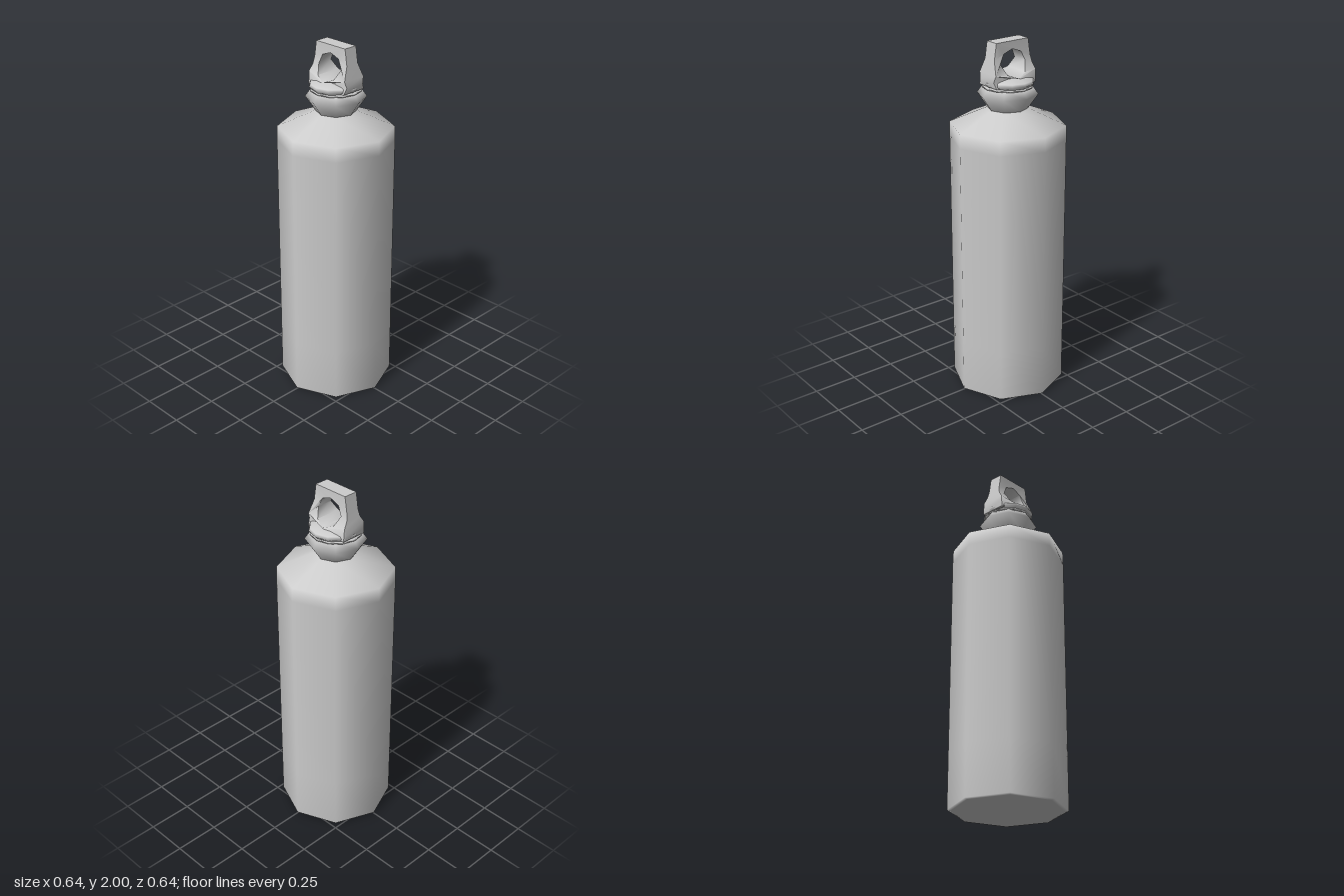
import * as THREE from 'three';
import { toCreasedNormals } from 'three/addons/utils/BufferGeometryUtils.js';

const grey = new THREE.MeshStandardMaterial({ color: 0xcccccc });

function addPart(group, name, geometry) {
  const mesh = new THREE.Mesh(geometry, grey);
  mesh.name = name;
  group.add(mesh);
  return mesh;
}

const lathe = (points, sides) =>
  new THREE.LatheGeometry(points.map(([r, y]) => new THREE.Vector2(r, y)), sides);

// Half depth of the carrying loop: thin at the top, flaring into the cap
function loopHalfDepth(x, y) {
  const steps = [[1.74, 0.13], [1.79, 0.13], [1.81, 0.1], [1.835, 0.07], [1.87, 0.048], [1.91, 0.04], [2.01, 0.04]];
  let i = 0;
  while (i < steps.length - 2 && y > steps[i + 1][0]) i++;
  const [[y0, d0], [y1, d1]] = [steps[i], steps[i + 1]];
  const depth = THREE.MathUtils.lerp(d0, d1, (y - y0) / (y1 - y0));
  return Math.min(depth, Math.sqrt(0.15 * 0.15 - x * x));
}

function loopGeometry() {
  const side = [[0.13, 1.765], [0.138, 1.8], [0.132, 1.835], [0.126, 1.87], [0.119, 1.91], [0.105, 2]];
  const outline = [...side, ...side.map(([x, y]) => [-x, y]).reverse()];
  const shape = new THREE.Shape(outline.map(([x, y]) => new THREE.Vector2(x, y)));

  // Eight-sided finger hole
  const hole = [];
  for (let i = 0; i < 8; i++) {
    const a = -i * Math.PI / 4;
    hole.push(new THREE.Vector2(0.082 * Math.cos(a), 1.883 + 0.074 * Math.sin(a)));
  }
  shape.holes.push(new THREE.Path(hole));

  const geometry = new THREE.ExtrudeGeometry(shape, { depth: 1, bevelEnabled: false });
  const p = geometry.attributes.position;
  for (let i = 0; i < p.count; i++) {
    const sign = p.getZ(i) > 0.5 ? 1 : -1;
    p.setZ(i, sign * loopHalfDepth(p.getX(i), p.getY(i)));
  }
  return toCreasedNormals(geometry, 0.95);
}

export function createModel() {
  const group = new THREE.Group();
  group.name = 'bottle';

  // Octagonal body with sloping shoulder and flared neck
  addPart(group, 'body', lathe([
    [0, 0], [0.3, 0], [0.318, 0.005], [0.318, 0.3], [0.318, 1.46], [0.316, 1.54], [0.11, 1.63],
  ], 8));
  addPart(group, 'neck', lathe([
    [0.11, 1.63], [0.165, 1.71], [0.136, 1.75], [0, 1.75],
  ], 8));

  // Thin seal between neck and cap
  addPart(group, 'seal', lathe([
    [0.1, 1.742], [0.138, 1.748], [0.138, 1.758], [0.1, 1.764],
  ], 12));

  // Domed cap, slightly narrower from side to side
  const cap = addPart(group, 'cap', lathe([
    [0, 1.752], [0.132, 1.757], [0.15, 1.775], [0.144, 1.79], [0.095, 1.808], [0, 1.812],
  ], 12));
  cap.scale.x = 0.93;

  // Carrying loop on top of the cap
  addPart(group, 'carryLoop', loopGeometry());

  return group;
}
